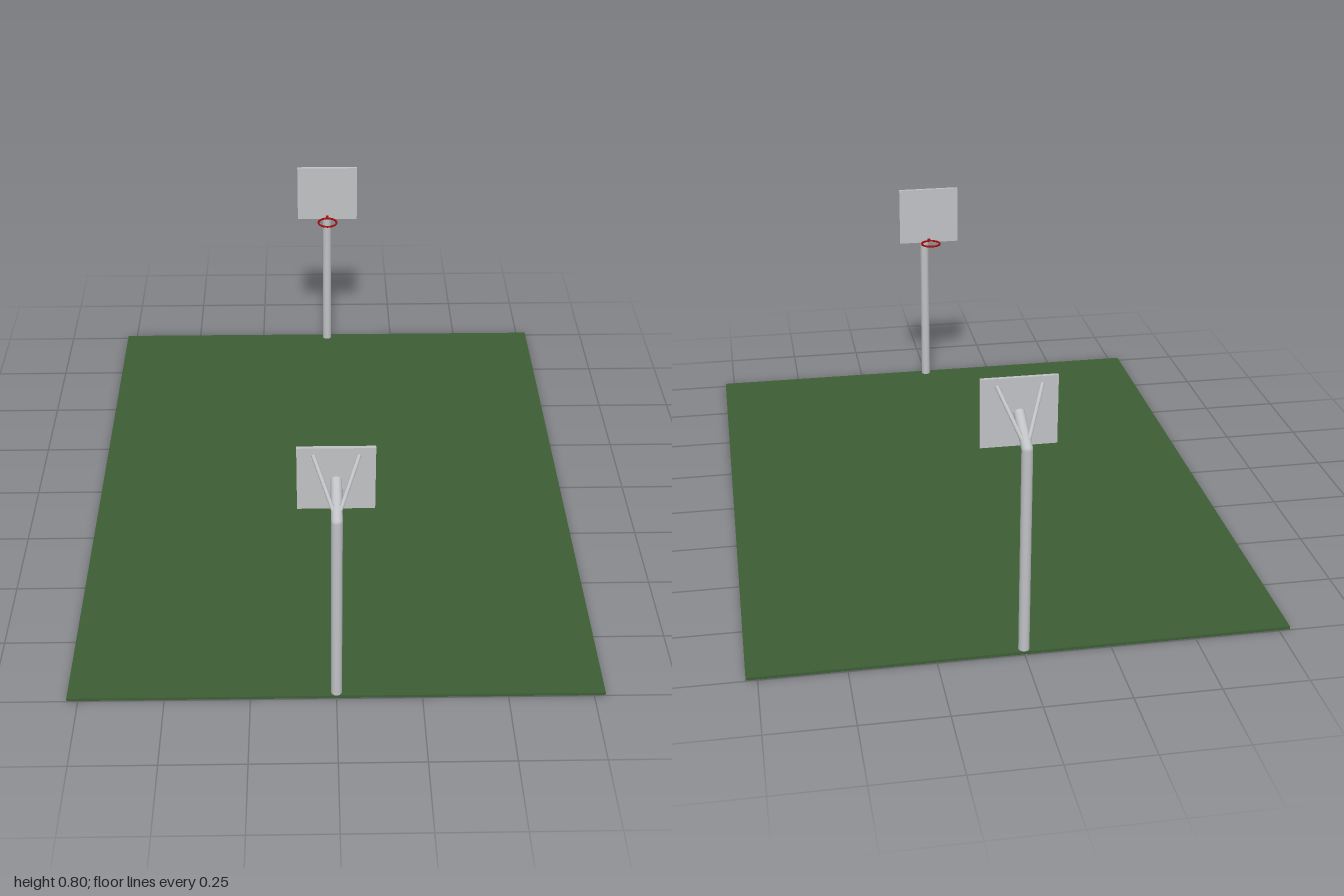
import * as THREE from 'three';

export function createModel() {
  const mat = (name, color) => {
    const m = new THREE.MeshStandardMaterial({ color });
    m.name = name;
    return m;
  };
  const green = mat('courtGreen', 0x3d5e35);
  const grey = mat('steelGrey', 0xc0c2c5);
  const red = mat('rimRed', 0xa80a0a);

  const add = (parent, name, geometry, material, x = 0, y = 0, z = 0) => {
    const mesh = new THREE.Mesh(geometry, material);
    mesh.name = name;
    mesh.position.set(x, y, z);
    parent.add(mesh);
    return mesh;
  };

  // Round bar between two points
  const bar = (parent, name, a, b, radius, material, sides = 20) => {
    const from = new THREE.Vector3(...a);
    const dir = new THREE.Vector3(...b).sub(from);
    const geometry = new THREE.CylinderGeometry(radius, radius, dir.length(), sides);
    const mid = from.clone().addScaledVector(dir, 0.5);
    const mesh = add(parent, name, geometry, material, mid.x, mid.y, mid.z);
    mesh.quaternion.setFromUnitVectors(new THREE.Vector3(0, 1, 0), dir.normalize());
    return mesh;
  };

  const model = new THREE.Group();
  model.name = 'basketballCourt';

  // Court slab
  add(model, 'court', new THREE.BoxGeometry(1.565, 0.009, 2), green, 0, 0.0065, 0);

  // One hoop at each end, facing the centre
  for (const end of [1, -1]) {
    const hoop = new THREE.Group();
    hoop.name = end > 0 ? 'frontHoop' : 'backHoop';

    // Post with an angled arm and rounded elbow
    bar(hoop, 'post', [0, 0, 0.983], [0, 0.64, 0.983], 0.016, grey);
    add(hoop, 'elbow', new THREE.SphereGeometry(0.016, 20, 12), grey, 0, 0.64, 0.983);
    bar(hoop, 'arm', [0, 0.64, 0.983], [0, 0.695, 0.868], 0.016, grey);

    // Braces spreading up to the board
    for (const side of [1, -1]) {
      bar(hoop, 'brace', [side * 0.006, 0.65, 0.965], [side * 0.063, 0.778, 0.868], 0.006, grey, 12);
    }

    // Backboard
    add(hoop, 'backboard', new THREE.BoxGeometry(0.216, 0.204, 0.011), grey, 0, 0.697, 0.863);

    // Rim and its bracket
    const rim = add(hoop, 'rim', new THREE.TorusGeometry(0.033, 0.0035, 8, 32), red, 0, 0.606, 0.808);
    rim.rotation.x = Math.PI / 2;
    add(hoop, 'rimBracket', new THREE.BoxGeometry(0.009, 0.006, 0.018), red, 0, 0.606, 0.85);

    hoop.rotation.y = end > 0 ? 0 : Math.PI;
    model.add(hoop);
  }

  return model;
}
